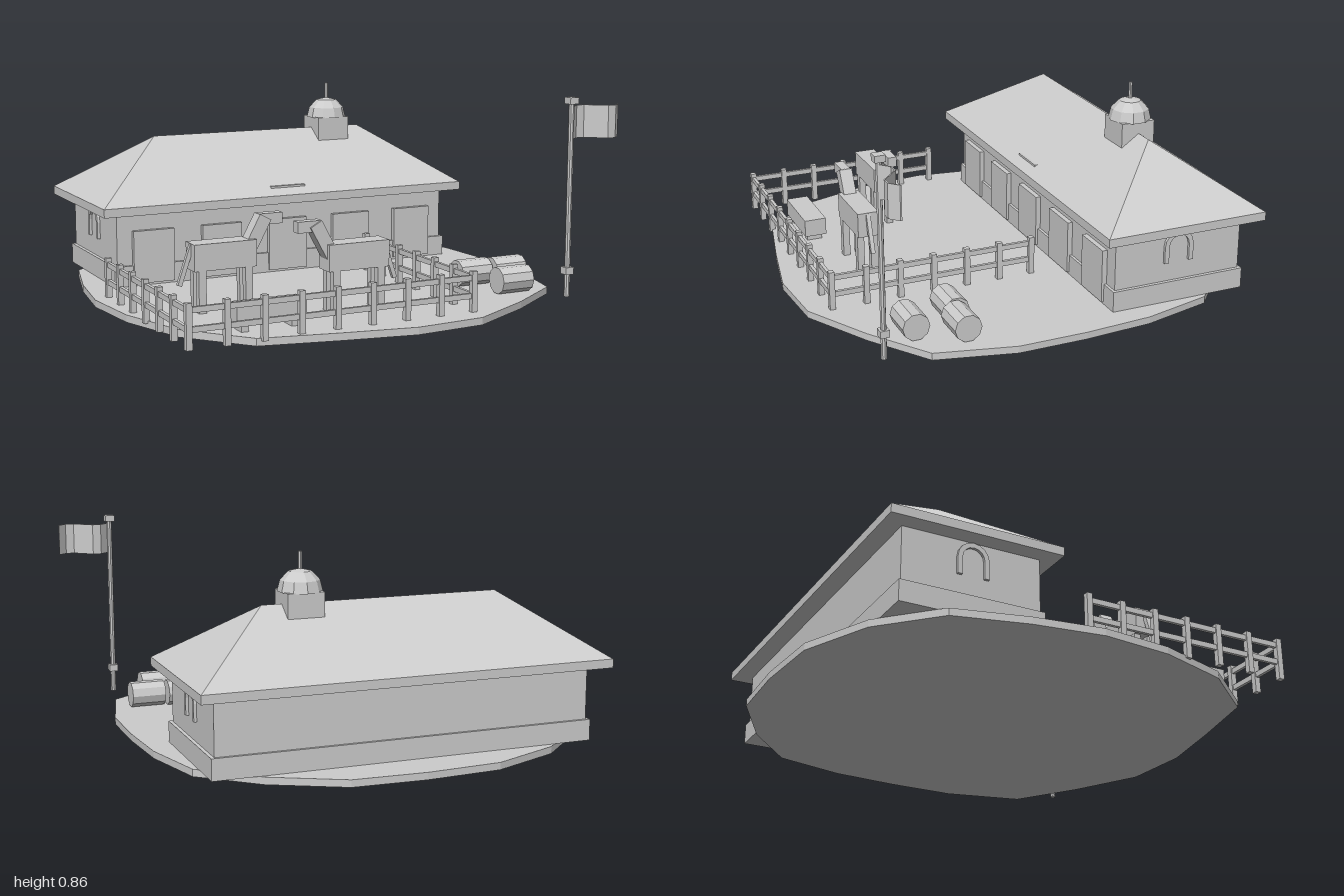
import * as THREE from 'three';
import { ConvexGeometry } from 'three/addons/geometries/ConvexGeometry.js';

const clay = new THREE.MeshStandardMaterial({ color: 0xcccccc, flatShading: true });
clay.name = 'paleGrey';

function add(parent, name, geometry, x = 0, y = 0, z = 0) {
  const mesh = new THREE.Mesh(geometry, clay);
  mesh.name = name;
  mesh.position.set(x, y, z);
  parent.add(mesh);
  return mesh;
}

// box given by its min and max on each axis
function box(parent, name, x0, x1, y0, y1, z0, z1) {
  return add(parent, name, new THREE.BoxGeometry(x1 - x0, y1 - y0, z1 - z0),
    (x0 + x1) / 2, (y0 + y1) / 2, (z0 + z1) / 2);
}

function group(parent, name) {
  const g = new THREE.Group();
  g.name = name;
  parent.add(g);
  return g;
}

function makeGround(root) {
  const outline = [[-0.04, -0.965], [0.27, -0.95], [0.56, -0.8], [0.785, -0.6], [0.86, -0.3],
    [0.88, -0.01], [0.88, 0.285], [0.8, 0.615], [0.545, 0.79], [0.26, 0.945], [-0.04, 0.965],
    [-0.34, 0.91], [-0.66, 0.84], [-0.87, 0.59], [-0.97, 0.285], [-1, -0.01], [-0.96, -0.3],
    [-0.885, -0.6], [-0.66, -0.815], [-0.36, -0.945]];
  const shape = new THREE.Shape(outline.map(([x, z]) => new THREE.Vector2(x, -z)));
  const geo = new THREE.ExtrudeGeometry(shape, { depth: 0.03, bevelEnabled: false });
  add(root, 'ground', geo.rotateX(-Math.PI / 2));
}

function makeStable(root) {
  const g = group(root, 'stable');
  box(g, 'plinth', -0.855, 0.765, 0.03, 0.118, -0.785, -0.183);
  box(g, 'walls', -0.84, 0.75, 0.1, 0.35, -0.773, -0.195);
  box(g, 'eaves', -0.915, 0.82, 0.343, 0.38, -0.85, -0.128);

  // hipped roof
  const roof = [[-0.556, 0.63, -0.489], [0.464, 0.63, -0.489]];
  for (const x of [-0.915, 0.82]) for (const z of [-0.85, -0.128]) roof.push([x, 0.379, z]);
  add(g, 'roof', new ConvexGeometry(roof.map((p) => new THREE.Vector3(...p))));
  box(g, 'roofPlank', -0.13, 0.035, 0.4, 0.417, -0.188, -0.17);

  // stall doors along the front
  for (let i = 0; i < 5; i++) {
    const x = -0.68 + i * 0.317;
    box(g, 'stallDoor', x - 0.092, x + 0.092, 0.04, 0.268, -0.2, -0.173);
  }

  // arched surround on each gable end
  const arch = new THREE.Shape();
  arch.moveTo(-0.066, 0);
  arch.lineTo(-0.046, 0);
  arch.lineTo(-0.046, 0.072);
  arch.absarc(0, 0.072, 0.046, Math.PI, 0, true);
  arch.lineTo(0.046, 0);
  arch.lineTo(0.066, 0);
  arch.lineTo(0.066, 0.072);
  arch.absarc(0, 0.072, 0.066, 0, Math.PI, false);
  const archGeo = new THREE.ExtrudeGeometry(arch, { depth: 0.024, bevelEnabled: false, curveSegments: 4 });
  archGeo.translate(0, 0, -0.012).rotateY(Math.PI / 2);
  for (const x of [-0.84, 0.75]) add(g, 'endArch', archGeo, x, 0.2, -0.482);

  // cupola
  box(g, 'cupolaBase', 0.225, 0.38, 0.55, 0.68, -0.562, -0.41);
  const dome = [[0, 0], [0.091, 0], [0.08, 0.045], [0.046, 0.08], [0, 0.09]];
  add(g, 'cupolaDome', new THREE.LatheGeometry(dome.map((p) => new THREE.Vector2(...p)), 10),
    0.302, 0.677, -0.486);
  add(g, 'finial', new THREE.CylinderGeometry(0.008, 0.008, 0.08, 6), 0.302, 0.795, -0.486);
}

function makeFence(root) {
  const g = group(root, 'fence');
  const [x0, x1, z0, z1] = [-0.932, 0.278, -0.04, 0.847];
  const post = (x, z) => box(g, 'fencePost', x - 0.012, x + 0.012, 0.02, 0.195, z - 0.012, z + 0.012);
  for (let i = 0; i <= 8; i++) post(x0 + (x1 - x0) * i / 8, z1);
  for (const x of [x0, x1]) for (let i = 0; i < 6; i++) post(x, z0 + (z1 - z0) * i / 6);
  for (const y of [0.095, 0.168]) {
    box(g, 'frontRail', x0, x1, y - 0.011, y + 0.011, z1 - 0.007, z1 + 0.007);
    for (const x of [x0, x1]) box(g, 'sideRail', x - 0.007, x + 0.007, y - 0.011, y + 0.011, z0, z1);
  }
}

// horse faces +x at angle 0
function makeHorse(root, x, z, angle) {
  const g = group(root, 'horse');
  g.position.set(x, 0, z);
  g.rotation.y = angle;
  box(g, 'body', -0.134, 0.134, 0.2, 0.308, -0.046, 0.046);
  for (const lx of [-0.1, 0.1]) for (const lz of [-0.03, 0.03]) {
    box(g, 'leg', lx - 0.016, lx + 0.016, 0.03, 0.21, lz - 0.015, lz + 0.015);
  }
  const neck = add(g, 'neck', new THREE.BoxGeometry(0.055, 0.16, 0.056), 0.143, 0.322, 0);
  neck.rotation.z = -0.5;
  box(g, 'head', 0.155, 0.258, 0.36, 0.405, -0.02, 0.02);
  const tail = add(g, 'tail', new THREE.BoxGeometry(0.018, 0.17, 0.018), -0.155, 0.222, 0);
  tail.rotation.z = -0.33;
}

function makeYard(root) {
  makeHorse(root, -0.593, 0.358, 0);
  makeHorse(root, -0.122, 0.594, Math.PI);

  // water trough
  const trough = group(root, 'trough');
  box(trough, 'troughTub', -0.7, -0.41, 0.058, 0.134, 0.655, 0.752);
  for (const x of [-0.66, -0.45]) box(trough, 'troughFoot', x - 0.015, x + 0.015, 0.03, 0.06, 0.67, 0.737);

  // round hay bales lying along x
  const bale = new THREE.CylinderGeometry(0.057, 0.057, 0.15, 10).rotateZ(Math.PI / 2);
  for (const [x, z] of [[0.532, 0.435], [0.695, 0.45], [0.605, 0.632]]) add(root, 'hayBale', bale, x, 0.087, z);
}

function makeFlag(root) {
  const g = group(root, 'flagpole');
  const [x, z] = [0.767, 0.797];
  add(g, 'pole', new THREE.CylinderGeometry(0.012, 0.012, 0.81, 8), x, 0.435, z);
  box(g, 'poleCap', x - 0.021, x + 0.021, 0.83, 0.857, z - 0.021, z + 0.021);
  box(g, 'poleCollar', x - 0.019, x + 0.019, 0.125, 0.155, z - 0.019, z + 0.019);

  // waving cloth: a thin wavy strip extruded upward
  const near = [], far = [];
  for (let i = 0; i <= 6; i++) {
    const fx = 0.778 + 0.222 * i / 6;
    const wave = -z + 0.038 * Math.sin(i / 6 * Math.PI * 2);
    near.push(new THREE.Vector2(fx, wave - 0.003));
    far.unshift(new THREE.Vector2(fx, wave + 0.003));
  }
  const cloth = new THREE.ExtrudeGeometry(new THREE.Shape([...near, ...far]), { depth: 0.135, bevelEnabled: false });
  add(g, 'flag', cloth.rotateX(-Math.PI / 2), 0, 0.685, 0);
}

export function createModel() {
  const root = new THREE.Group();
  root.name = 'horseStable';
  makeGround(root);
  makeStable(root);
  makeFence(root);
  makeYard(root);
  makeFlag(root);
  return root;
}
